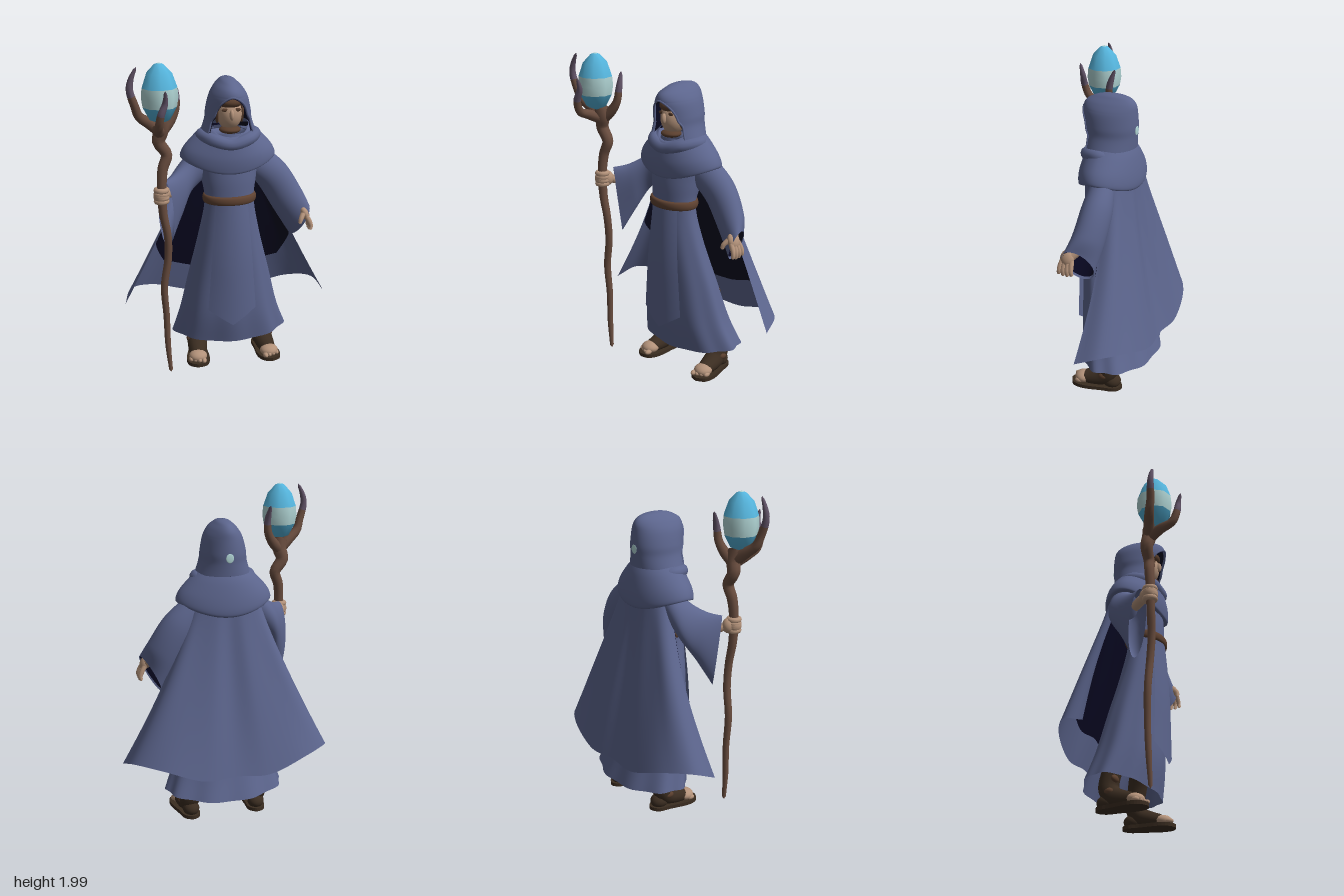
import * as THREE from 'three';
import { mergeVertices } from 'three/addons/utils/BufferGeometryUtils.js';
import { ParametricGeometry } from 'three/addons/geometries/ParametricGeometry.js';

const { sin, cos, PI, abs, min, max, sqrt } = Math;
const V = (x, y, z) => new THREE.Vector3(x, y, z);
const lerp = THREE.MathUtils.lerp;

// Smooth interpolation between rows of numbers
function sample(rows, t) {
  const n = rows.length - 1, f = min(max(t, 0), 1) * n, i = min(Math.floor(f), n - 1), k = f - i;
  const p = j => rows[min(max(j, 0), n)];
  return rows[i].map((_, c) => {
    const a = p(i - 1)[c], b = p(i)[c], d = p(i + 1)[c], e = p(i + 2)[c];
    return b + 0.5 * k * (d - a + k * (2 * a - 5 * b + 4 * d - e + k * (3 * (b - d) + e - a)));
  });
}

// Smooth surface from a rule, seams welded
function surface(fn, nu, nv) {
  let g = new ParametricGeometry(fn, nu, nv);
  g.deleteAttribute('uv');
  g.deleteAttribute('normal');
  g = mergeVertices(g, 1e-4);
  g.computeVertexNormals();
  return g;
}

// Upright loft, rows of [y, cx, cz, rx, rz]; tweak adjusts each point
function loft(rows, tweak = () => {}, nu = 64, nv = 40) {
  return surface((u, v, p) => {
    const [y, cx, cz, rx, rz] = sample(rows, v), a = u * 2 * PI;
    p.set(cx + sin(a) * rx, y, cz + cos(a) * rz);
    tweak(p, a, v);
  }, nu, nv);
}

// Tapered round limb along a curve, radii interpolated along its length
function limb(points, radii, n = 24, sides = 10) {
  const curve = new THREE.CatmullRomCurve3(points.map(p => V(...p)));
  const g = new THREE.TubeGeometry(curve, n, 1, sides), pos = g.attributes.position, q = V();
  for (let i = 0; i <= n; i++) {
    const c = curve.getPointAt(i / n);
    const r = i === 0 || i === n ? 0.001 : sample(radii.map(x => [x]), i / n)[0];
    for (let j = 0; j <= sides; j++) {
      const k = i * (sides + 1) + j;
      q.fromBufferAttribute(pos, k).sub(c).multiplyScalar(r).add(c);
      pos.setXYZ(k, q.x, q.y, q.z);
    }
  }
  return g;
}

export function createModel() {
  const root = new THREE.Group();
  const mat = (name, color, side = THREE.FrontSide) => {
    const m = new THREE.MeshStandardMaterial({ color, side });
    m.name = name;
    return m;
  };
  const cloth = mat('blue cloth', 0x5c658d, THREE.DoubleSide);
  const dark = mat('dark lining', 0x080720, THREE.DoubleSide);
  const wood = mat('wood', 0x684c3e);
  const tipWood = mat('weathered wood', 0x625468);
  const belt = mat('belt leather', 0x5f4231, THREE.DoubleSide);
  const skin = mat('skin', 0xb3927a);
  const hair = mat('brown hair', 0x5a3f2e);
  const leather = mat('dark leather', 0x3b2d21);
  const blue = mat('crystal blue', 0x55b4dc);
  const pale = mat('crystal pale', 0xb0d4d4);
  const add = (name, g, m, parent = root) => {
    const mesh = new THREE.Mesh(g, m);
    mesh.name = name;
    parent.add(mesh);
    return mesh;
  };
  const ball = (name, m, c, s, parent = root) => {
    const b = add(name, new THREE.SphereGeometry(1, 20, 14), m, parent);
    b.position.set(...c);
    b.scale.set(...s);
    return b;
  };

  // Robe with folds growing toward the hem
  add('robe', loft([
    [0.17, 0.02, -0.145, 0.365, 0.205], [0.35, 0.01, -0.1, 0.31, 0.19], [0.6, 0.005, -0.06, 0.255, 0.16],
    [0.88, 0, -0.015, 0.19, 0.125], [1.1, 0, 0.005, 0.152, 0.105], [1.25, 0, -0.02, 0.17, 0.13],
    [1.4, 0, -0.05, 0.18, 0.14], [1.52, 0, -0.04, 0.11, 0.1],
  ], (p, a, v) => {
    const k = max(0, 1 - v / 0.55), f = 1 + 0.028 * k * cos(9 * a);
    p.x *= f;
    p.z = -0.1 + (p.z + 0.1) * f;
    p.y += k * k * 0.014 * -cos(2 * a);
  }, 90, 50), cloth);
  ball('robePatch', hair, [0.207, 0.5, -0.193], [0.026, 0.03, 0.0049]).rotation.y = 2.56;
  add('frontPanel', surface((u, v, p) => {
    const s = u * 2 - 1, w = 1 - v;
    p.set(s * lerp(0.1, 0.15, w), lerp(1.11, 0.41 - 0.1 * (1 - abs(s)), w),
      0.12 + 0.027 * sin(min(1, w * 1.6) * PI / 2) - 0.036 * s * s);
  }, 20, 24), cloth);
  add('belt', loft([[1.09, 0, 0.006, 0.145, 0.1], [1.094, 0, 0.006, 0.16, 0.12], [1.117, 0, 0.006, 0.166, 0.126],
    [1.14, 0, 0.006, 0.16, 0.12], [1.144, 0, 0.006, 0.145, 0.1]], undefined, 48, 12), belt);

  // Cape hung from the shoulders, flaring to pointed corners
  const mirrored = half => new THREE.CatmullRomCurve3([
    ...half.slice(1).reverse().map(([x, y, z]) => V(-x, y, z)), ...half.map(p => V(...p))]);
  const capeTop = mirrored([[0, 1.42, -0.2], [0.07, 1.42, -0.2], [0.14, 1.42, -0.18], [0.19, 1.4, -0.14], [0.2, 1.38, -0.09]]);
  const capeHem = mirrored([[0, 0.34, -0.392], [0.2, 0.335, -0.402], [0.45, 0.41, -0.355], [0.6, 0.43, -0.26], [0.65, 0.385, -0.12]]);
  const cape = (u, w, p) => {
    const a = capeTop.getPoint(u), b = capeHem.getPoint(u), s = u * 2 - 1;
    p.set(lerp(a.x, b.x, w ** 1.2), lerp(a.y, b.y, w),
      lerp(a.z, b.z, w ** 1.35) + 0.006 * cos(s * 14) * sin(w * PI) - 0.04 * s * s * sin(w * PI));
  };
  add('cape', surface((u, v, p) => cape(u, 1 - v, p), 72, 40), cloth);
  add('capeLining', surface((u, v, p) => {
    const w = lerp(0.82, 0.05, v), reach = lerp(0.97, 0.5, THREE.MathUtils.clamp((w - 0.54) / 0.28, 0, 1));
    cape(0.5 + (u - 0.5) * reach, w, p);
    p.x *= 0.975;
    p.z += 0.012;
  }, 48, 30), dark);

  // Bell sleeves: each row is a centre and two ring axes
  const sleeve = (name, m, rows, k = 1) =>
    add(name, surface((u, v, p) => {
      const r = sample(rows, v * (k < 1 ? 0.97 : 1)), c = cos(u * 2 * PI) * k, s = sin(u * 2 * PI) * k;
      p.set(r[0] + r[3] * c + r[6] * s, r[1] + r[4] * c + r[7] * s, r[2] + r[5] * c + r[8] * s);
    }, 36, 24), m);
  sleeve('rightSleeve', cloth, [
    [-0.13, 1.36, -0.07, -0.02, 0.1, 0, 0.04, 0, 0.08], [-0.26, 1.24, -0.045, 0.01, 0.115, 0.02, 0.05, 0, 0.075],
    [-0.335, 1.14, 0.03, -0.005, 0.15, 0.025, 0.05, 0, 0.055], [-0.4, 1.055, 0.1, -0.01, 0.215, 0.025, 0.042, 0, 0.035]]);
  const leftRows = [
    [0.13, 1.36, -0.07, 0.02, 0.1, 0, -0.04, 0, 0.08], [0.28, 1.22, -0.09, 0.075, 0.075, 0, 0, 0, 0.09],
    [0.38, 1.06, -0.08, 0.085, 0.065, 0.02, -0.005, 0, 0.085], [0.455, 0.925, -0.05, 0.055, 0.1, 0.045, 0.006, -0.028, 0.075]];
  sleeve('leftSleeve', cloth, leftRows);
  sleeve('leftSleeveLining', dark, leftRows, 0.94);

  // Shoulder cowl with a draped roll
  add('cowl', loft([
    [1.38, 0, -0.055, 0.22, 0.13], [1.36, 0, -0.055, 0.275, 0.17], [1.375, 0, -0.055, 0.292, 0.18],
    [1.43, 0, -0.05, 0.268, 0.177], [1.5, 0, -0.045, 0.205, 0.16], [1.55, 0, -0.035, 0.15, 0.14], [1.58, 0, -0.035, 0.12, 0.12],
  ], (p, a, v) => {
    p.y -= 0.09 * cos(a) ** 2 * max(0, 1 - v * 1.3) + 0.07 * max(0, cos(a)) * v * v;
  }), cloth);
  const roll = new THREE.CatmullRomCurve3([[0, 1.465, 0.09], [0.11, 1.49, 0.06], [0.16, 1.5, -0.04], [0.1, 1.48, -0.12],
    [0, 1.47, -0.14], [-0.1, 1.48, -0.12], [-0.16, 1.5, -0.04], [-0.11, 1.49, 0.06]].map(p => V(...p)), true);
  add('cowlRoll', new THREE.TubeGeometry(roll, 64, 0.04, 12, true), cloth);

  // Hood with an arched face opening, rows of [y, rx, front, back]
  const hoodRows = [[1.53, 0.165, 0.125, -0.2], [1.6, 0.142, 0.125, -0.205], [1.66, 0.135, 0.125, -0.21], [1.74, 0.115, 0.134, -0.207],
    [1.79, 0.086, 0.12, -0.2], [1.822, 0.055, 0.07, -0.175], [1.838, 0.034, 0.02, -0.13], [1.847, 0.002, -0.04, -0.05]];
  const hood = (u, v, p, k = 1) => {
    const [y, rx, f, b] = sample(hoodRows, v);
    const open = 0.108 * sqrt(max(0, 1 - max(0, (y - 1.56) / 0.195) ** 2)) + 0.6 * max(0, 1.63 - y);
    const a0 = Math.asin(min(0.82, open / rx)), a = a0 + (2 * PI - 2 * a0) * u;
    p.set(sin(a) * rx * k, y - (1 - k) * 0.15, (f + b) / 2 + cos(a) * (f - b) / 2 * k);
  };
  add('hood', surface((u, v, p) => hood(u, v, p), 64, 56), cloth);
  add('hoodLining', surface((u, v, p) => hood(u, v, p, 0.93), 48, 40), dark);
  const rim = [];
  for (let i = -6; i <= 6; i++) {
    const p = V();
    hood(i < 0 ? 0 : 1, 0.47 * (1 - abs(i) / 6), p);
    rim.push(p.toArray());
  }
  add('hoodRim', limb(rim, [0.006, 0.006], 48, 8), cloth);
  ball('hoodSpot', pale, [0, 1.64, -0.209], [0.024, 0.028, 0.004]);

  // Face
  ball('head', skin, [0, 1.64, 0.008], [0.076, 0.1, 0.085]);
  ball('brow', hair, [0, 1.715, 0.02], [0.078, 0.042, 0.078]);
  ball('beard', hair, [0, 1.545, 0.03], [0.065, 0.024, 0.06]);
  ball('nose', skin, [0, 1.645, 0.092], [0.014, 0.032, 0.018]);
  for (const s of [-1, 1]) {
    ball('eye', hair, [s * 0.036, 1.674, 0.076], [0.022, 0.011, 0.006]);
    ball('sideHair', hair, [s * 0.074, 1.65, 0.01], [0.013, 0.07, 0.03]);
  }

  // Staff with three prongs holding the crystal
  add('staff', limb([[-0.4, 0.04, 0.18], [-0.415, 0.22, 0.175], [-0.42, 0.42, 0.17], [-0.43, 0.62, 0.175], [-0.405, 0.8, 0.18],
    [-0.405, 0.95, 0.19], [-0.43, 1.1, 0.195], [-0.435, 1.25, 0.195], [-0.425, 1.37, 0.185], [-0.4, 1.45, 0.175],
    [-0.445, 1.53, 0.175], [-0.43, 1.6, 0.185], [-0.44, 1.67, 0.2]],
  [0.012, 0.018, 0.02, 0.022, 0.023, 0.024, 0.027, 0.03, 0.036, 0.048], 90, 10), wood);
  [
    [[-0.44, 1.6, 0.19], [-0.5, 1.65, 0.21], [-0.56, 1.7, 0.235], [-0.582, 1.76, 0.25], [-0.61, 1.86, 0.26], [-0.6, 1.92, 0.26], [-0.57, 1.985, 0.26]],
    [[-0.44, 1.59, 0.19], [-0.46, 1.625, 0.27], [-0.46, 1.655, 0.34], [-0.45, 1.73, 0.37], [-0.425, 1.8, 0.37], [-0.425, 1.87, 0.387]],
    [[-0.43, 1.59, 0.18], [-0.38, 1.64, 0.16], [-0.345, 1.7, 0.145], [-0.335, 1.78, 0.135], [-0.345, 1.88, 0.105]],
  ].forEach(p => {
    const g = limb(p, [0.036, 0.032, 0.026, 0.023, 0.018, 0.008]), split = 15 * 10 * 6;
    g.addGroup(0, split, 0);
    g.addGroup(split, g.index.count - split, 1);
    add('prong', g, [wood, tipWood]);
  });
  const crystal = (name, m, pts) =>
    add(name, new THREE.LatheGeometry(pts.map(p => new THREE.Vector2(...p)), 9), m).position.set(-0.44, 0, 0.225);
  crystal('crystalBase', blue, [[0.001, 1.65], [0.06, 1.675], [0.099, 1.75]]);
  crystal('crystalBand', pale, [[0.099, 1.75], [0.108, 1.805], [0.103, 1.86]]);
  crystal('crystalTop', blue, [[0.103, 1.86], [0.075, 1.94], [0.03, 1.988], [0.013, 1.995]]);
  crystal('crystalTip', pale, [[0.013, 1.995], [0.001, 2]]);

  // Right hand gripping the staff
  ball('rightPalm', skin, [-0.425, 1.205, 0.165], [0.038, 0.048, 0.042]);
  ball('rightFist', skin, [-0.439, 1.207, 0.193], [0.046, 0.05, 0.046]);
  add('rightWrist', limb([[-0.36, 1.18, 0.06], [-0.41, 1.2, 0.14]], [0.03, 0.03], 8), skin);
  for (let i = 0; i < 4; i++) {
    const f = add('rightFinger', new THREE.TorusGeometry(0.03, 0.017, 8, 20), skin);
    f.rotation.x = PI / 2;
    f.position.set(-0.437, 1.175 + i * 0.022, 0.193);
  }

  // Left hand, relaxed
  add('leftWrist', limb([[0.43, 1.02, -0.05], [0.475, 0.97, 0]], [0.03, 0.03], 8), skin);
  ball('leftPalm', skin, [0.478, 0.975, 0.005], [0.028, 0.05, 0.044]).rotation.z = 0.4;
  for (let i = 0; i < 4; i++) {
    const z = 0.04 - i * 0.024;
    add('leftFinger', limb([[0.48, 0.97, z * 0.8], [0.503, 0.93, z], [0.512, 0.9, z * 1.1], [0.506, 0.865 + abs(i - 1.5) * 0.008, z * 1.2]],
      [0.016, 0.015, 0.011], 14, 8), skin);
  }
  add('leftThumb', limb([[0.465, 0.985, 0.03], [0.445, 0.955, 0.055], [0.435, 0.925, 0.06]], [0.017, 0.015, 0.011], 12, 8), skin);

  // Legs and sandals
  const print = new THREE.Shape().setFromPoints(new THREE.SplineCurve([[0, 0.165], [0.055, 0.14], [0.076, 0.07], [0.062, -0.05],
    [0.05, -0.13], [0, -0.165], [-0.05, -0.13], [-0.058, -0.05], [-0.072, 0.07], [-0.05, 0.14], [0, 0.165]]
    .map(([x, y]) => new THREE.Vector2(x, -y))).getPoints(40));
  for (const [side, x] of [[1, 0.25], [-1, -0.195]]) {
    const foot = new THREE.Group();
    foot.name = side > 0 ? 'leftFoot' : 'rightFoot';
    foot.position.set(x, 0.006, -0.068);
    foot.rotation.y = side * 0.12;
    root.add(foot);
    const sole = add('sole', new THREE.ExtrudeGeometry(print, { depth: 0.022, bevelEnabled: false }), leather, foot);
    sole.rotation.x = -PI / 2;
    const boot = add('boot', limb([[-side * 0.06, 0.4, -0.03], [-side * 0.015, 0.25, -0.07], [0, 0.13, -0.085], [0, 0.08, -0.05], [0, 0.056, 0.02], [0, 0.045, 0.085]],
      [0.055, 0.06, 0.057, 0.06, 0.055, 0.042], 30, 14), leather, foot);
    boot.scale.x = 1.12;
    ball('heel', leather, [0, 0.05, -0.1], [0.052, 0.046, 0.058], foot);
    ball('shinPatch', hair, [side * 0.02, 0.18, -0.035], [0.036, 0.022, 0.017], foot);
    ball('anklePatch', hair, [side * 0.05, 0.1, -0.06], [0.02, 0.022, 0.032], foot);
    ball('forefoot', skin, [0, 0.045, 0.085], [0.058, 0.037, 0.056], foot);
    for (let i = 0; i < 4; i++) {
      ball('toe', skin, [side * (i * 0.027 - 0.038), 0.034, 0.132 - i * 0.009], [0.016, 0.016, 0.026], foot);
    }
  }
  return root;
}
